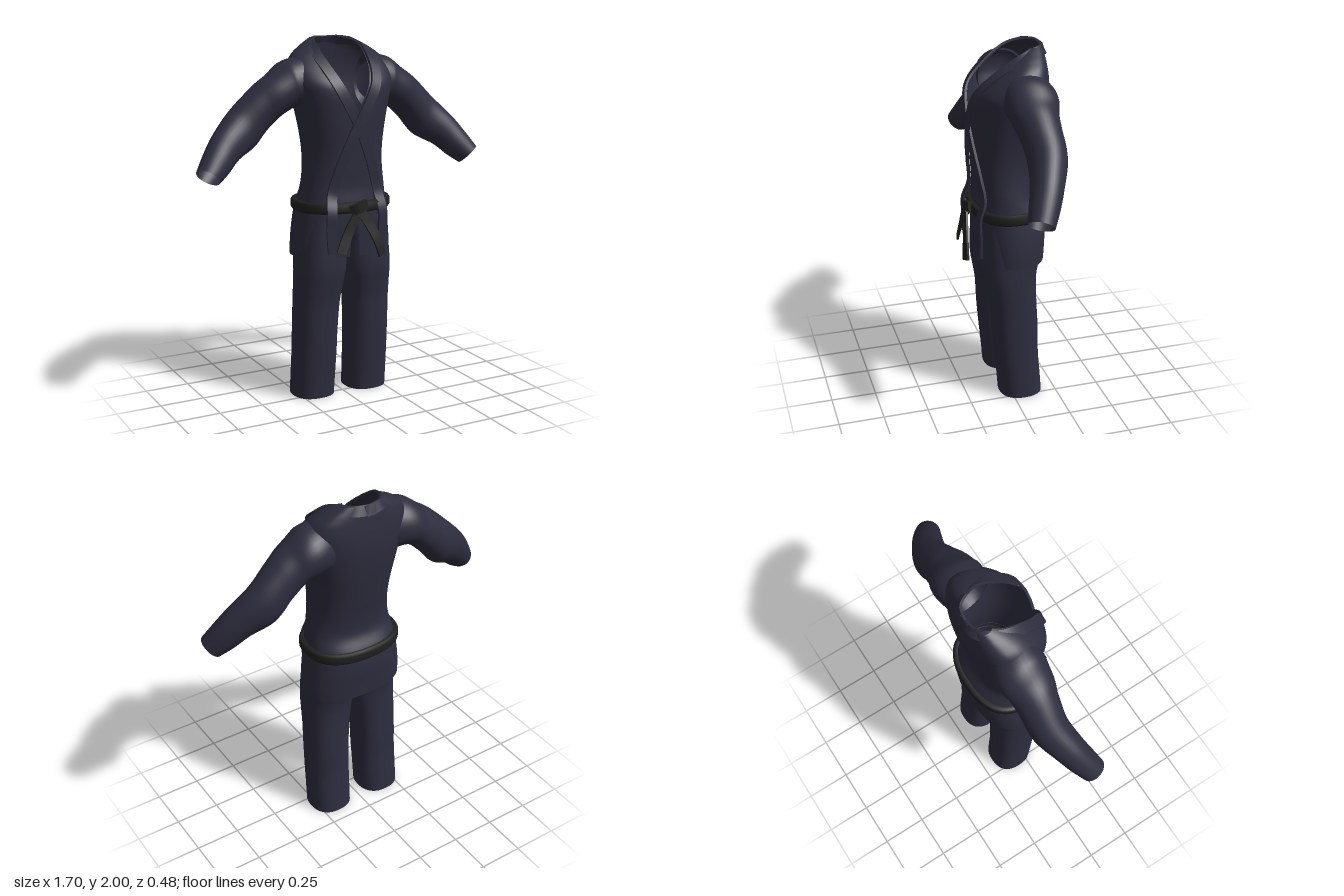
import * as THREE from 'three';
import { toCreasedNormals } from 'three/addons/utils/BufferGeometryUtils.js';

const V = (x, y, z) => new THREE.Vector3(x, y, z);

// Smoothly resample a table of numeric rows (Catmull-Rom on each column)
function resample(rows, n) {
  const last = rows.length - 1;
  return Array.from({ length: n + 1 }, (_, k) => {
    const f = (k / n) * last, i = Math.min(Math.floor(f), last - 1), t = f - i;
    const [a, b, c, d] = [Math.max(i - 1, 0), i, i + 1, Math.min(i + 2, last)].map(q => rows[q]);
    return b.map((p, j) => p + 0.5 * t * (c[j] - a[j] + t * (2 * a[j] - 5 * p + 4 * c[j] - d[j]
      + t * (3 * (p - c[j]) + d[j] - a[j]))));
  });
}

// Skin rows of points into a surface
function loft(rows, closed = true) {
  const n = rows[0].length, index = [];
  for (let i = 0; i < rows.length - 1; i++) {
    for (let j = 0; j < (closed ? n : n - 1); j++) {
      const a = i * n + j, b = i * n + (j + 1) % n;
      index.push(a, b, a + n, b, b + n, a + n);
    }
  }
  const g = new THREE.BufferGeometry().setFromPoints(rows.flat());
  g.setIndex(index);
  g.computeVertexNormals();
  return g;
}

// Rounded horizontal ring, optionally with an opening of half-width gap in front
const POWER = 2.4;
const bend = v => Math.sign(v) * Math.abs(v) ** (2 / POWER);
function ring(y, w, zf, zb, gap = 0, cx = 0, n = 56, open = false) {
  const a0 = Math.asin(Math.min(1, (Math.max(gap, 0) / w) ** (POWER / 2)));
  return Array.from({ length: n }, (_, i) => {
    const a = a0 + (2 * Math.PI - 2 * a0) * i / (open ? n - 1 : n);
    return V(cx + w * bend(Math.sin(a)), y, (zf + zb) / 2 + (zf - zb) / 2 * bend(Math.cos(a)));
  });
}

// Jacket body rows: y, half width, front z, back z, half opening
const body = resample([
  [0.82, 0.288, 0.145, -0.212, 0.03], [0.90, 0.285, 0.150, -0.218, 0.025],
  [1.00, 0.272, 0.158, -0.224, 0.012], [1.10, 0.255, 0.160, -0.215, 0],
  [1.20, 0.238, 0.152, -0.165, 0], [1.30, 0.224, 0.158, -0.168, 0],
  [1.40, 0.222, 0.165, -0.185, 0], [1.50, 0.233, 0.172, -0.202, 0],
  [1.60, 0.252, 0.177, -0.218, 0], [1.70, 0.275, 0.178, -0.229, 0.045],
  [1.77, 0.292, 0.160, -0.231, 0.080], [1.84, 0.290, 0.100, -0.226, 0.110],
  [1.90, 0.255, 0.035, -0.218, 0.122], [1.94, 0.205, -0.015, -0.212, 0.126],
  [1.97, 0.155, -0.060, -0.206, 0.122], [1.99, 0.118, -0.100, -0.200, 0.105],
], 90);

// Front surface depth of the jacket at a given x and y
function frontZ(x, y) {
  const i = Math.max(0, body.findIndex(r => r[0] > y) - 1);
  const r = body[i], s = body[i + 1], t = (y - r[0]) / (s[0] - r[0]);
  const [, w, zf, zb] = r.map((v, k) => v + (s[k] - v) * t);
  const q = Math.max(0, 1 - Math.abs(x / w) ** POWER) ** (1 / POWER);
  return (zf + zb) / 2 + (zf - zb) / 2 * q;
}

// Flat cloth strip along rows of x, y, z, normal x, y, z
function ribbon(table, width, thick, n = 40) {
  const pts = resample(table, n);
  const rows = pts.map((p, i) => {
    const q = pts[Math.max(i - 1, 0)], r = pts[Math.min(i + 1, n)];
    const t = V(r[0] - q[0], r[1] - q[1], r[2] - q[2]).normalize();
    const side = t.clone().cross(V(p[3], p[4], p[5])).normalize();
    const nor = side.clone().cross(t);
    return [[1, 1], [-1, 1], [-1, -1], [1, -1]].map(([a, b]) => V(p[0], p[1], p[2])
      .addScaledVector(nor, a * thick / 2).addScaledVector(side, b * width / 2));
  });
  const cap = r => r.map(() => r[0].clone().lerp(r[2], 0.5));
  return toCreasedNormals(loft([cap(rows[0]), ...rows, cap(rows[n])]), 0.7);
}

export function createModel() {
  const group = new THREE.Group();
  const cloth = new THREE.MeshStandardMaterial({ color: 0x2e2d3e, side: THREE.DoubleSide });
  cloth.name = 'darkNavyCloth';
  const black = new THREE.MeshStandardMaterial({ color: 0x20201e, side: THREE.DoubleSide });
  black.name = 'blackBeltCloth';
  const add = (name, geo, mat, mirror = 1) => {
    const m = new THREE.Mesh(geo, mat);
    m.name = name;
    m.scale.x = mirror;
    group.add(m);
  };

  // Jacket body with open neck and split skirt
  add('jacketBody', loft(body.map(([y, w, zf, zb, g]) => ring(y, w, zf, zb, g, 0, 65, true)), false), cloth);

  // Sleeves: top x, y, bottom x, y, centre z, half depth
  const arm = resample([
    [0.20, 1.90, 0.19, 1.60, -0.060, 0.130], [0.31, 1.88, 0.26, 1.625, -0.075, 0.140],
    [0.40, 1.815, 0.335, 1.595, -0.070, 0.125], [0.48, 1.76, 0.42, 1.52, -0.075, 0.108],
    [0.60, 1.65, 0.50, 1.43, -0.075, 0.100], [0.72, 1.53, 0.61, 1.37, -0.035, 0.085],
    [0.79, 1.44, 0.68, 1.31, 0.000, 0.078], [0.85, 1.35, 0.745, 1.265, 0.035, 0.068],
  ], 42);
  const centre = r => V((r[0] + r[2]) / 2, (r[1] + r[3]) / 2, r[4]);
  const armRows = arm.map((r, i) => {
    const t = centre(arm[Math.min(i + 1, 42)]).sub(centre(arm[Math.max(i - 1, 0)]));
    const u = V((r[0] - r[2]) / 2, (r[1] - r[3]) / 2, 0);
    const v = t.cross(u).normalize().multiplyScalar(r[5]);
    return Array.from({ length: 32 }, (_, k) => {
      const a = k / 32 * Math.PI * 2;
      return centre(r).addScaledVector(u, Math.cos(a)).addScaledVector(v, Math.sin(a));
    });
  });

  // Trouser legs: y, inner x, outer x, front z, back z
  const leg = resample([
    [0, 0.045, 0.285, 0.062, -0.180], [0.1, 0.043, 0.285, 0.070, -0.172],
    [0.25, 0.040, 0.283, 0.085, -0.160], [0.4, 0.038, 0.281, 0.098, -0.158],
    [0.55, 0.028, 0.280, 0.106, -0.150], [0.65, 0.014, 0.279, 0.122, -0.148],
    [0.75, 0.000, 0.277, 0.138, -0.152], [0.9, -0.004, 0.268, 0.138, -0.185],
    [1.08, -0.004, 0.245, 0.135, -0.195],
  ], 40);
  const legRows = leg.map(([y, a, b, zf, zb]) => ring(y, (b - a) / 2, zf, zb, 0, (a + b) / 2, 40));

  for (const [side, s] of [['left', 1], ['right', -1]]) {
    add(side + 'Sleeve', loft(armRows), cloth, s);
    add(side + 'TrouserLeg', loft(legRows), cloth, s);
  }

  // Collar bands running from the nape, over the chest and below the belt
  const nape = [
    [-0.03, 1.962, -0.216, 0, 0.35, -1], [0.075, 1.968, -0.200, 0.4, 0.5, -0.7],
    [0.135, 1.962, -0.125, 0.6, 0.75, -0.1], [0.157, 1.930, -0.035, 0.45, 0.7, 0.4],
  ];
  const chest = [[0.145, 1.85], [0.112, 1.76], [0.06, 1.66], [0.005, 1.56], [-0.05, 1.44],
    [-0.10, 1.31], [-0.138, 1.18], [-0.155, 1.08], [-0.158, 0.98], [-0.148, 0.86]];
  for (const [name, s, lift] of [['overlappingLapel', 1, 0.013], ['underLapel', -1, 0.005]]) {
    const front = chest.map(([x, y], i) => {
      const upper = Math.max(0, (y - 1.66) / 0.2);
      const hang = y < 1.15 ? 0.03 : 0;
      return [x, y, frontZ(x, y) + lift + hang, x * 0.9, 0.6 * upper, 1];
    });
    const table = [...nape, ...front].map(r => [r[0] * s, r[1], r[2], r[3] * s, r[4], r[5]]);
    add(name, ribbon(table, 0.056, 0.014, 70), cloth);
  }

  // Belt band
  const beltProfile = [[1.072, -0.005], [1.07, 0.014], [1.083, 0.022], [1.117, 0.022], [1.13, 0.014], [1.128, -0.005]];
  add('belt', loft(beltProfile.map(([y, o]) => ring(y, 0.255 + o, 0.162 + o, -0.214 - o))), black);

  // Belt knot and hanging ends
  add('beltKnot', ribbon([[-0.05, 1.085, 0.190, 0, 0, 1], [-0.01, 1.103, 0.206, 0, 0, 1],
    [0.045, 1.115, 0.190, 0, 0, 1]], 0.056, 0.024, 12), black);
  add('rightBeltEnd', ribbon([[0.02, 1.10, 0.192, 0, 0, 1], [-0.04, 1.03, 0.205, 0, 0, 1],
    [-0.085, 0.95, 0.212, -0.2, 0, 1], [-0.122, 0.865, 0.220, -0.3, 0, 1]], 0.052, 0.012, 20), black);
  add('leftBeltEnd', ribbon([[-0.02, 1.11, 0.196, 0, 0, 1], [0.04, 1.03, 0.212, 0, 0, 1],
    [0.09, 0.93, 0.228, 0.2, 0, 1], [0.122, 0.835, 0.236, 0.3, 0, 1]], 0.052, 0.012, 20), black);

  return group;
}
